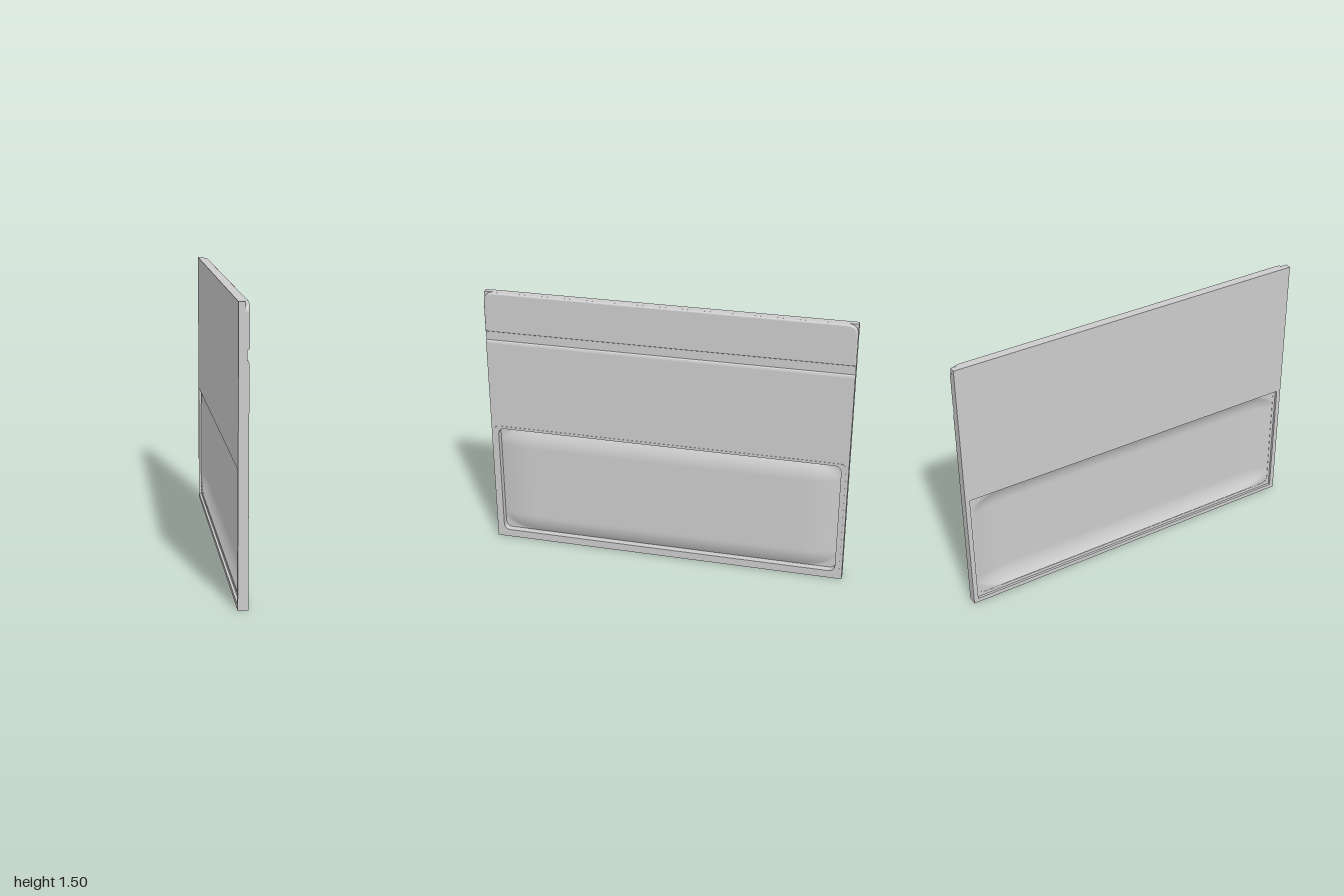
import * as THREE from 'three';

const grey = new THREE.MeshStandardMaterial({ color: 0xcccccc, side: THREE.DoubleSide });

// Rectangle in (z, y) with separate lower and upper corner radii.
function roundedRect(Path, halfW, y0, y1, rLow = 0, rTop = rLow) {
  const p = new Path();
  p.moveTo(-halfW + rLow, y0);
  p.lineTo(halfW - rLow, y0);
  if (rLow) p.quadraticCurveTo(halfW, y0, halfW, y0 + rLow);
  p.lineTo(halfW, y1 - rTop);
  if (rTop) p.quadraticCurveTo(halfW, y1, halfW - rTop, y1);
  p.lineTo(-halfW + rTop, y1);
  if (rTop) p.quadraticCurveTo(-halfW, y1, -halfW, y1 - rTop);
  p.lineTo(-halfW, y0 + rLow);
  if (rLow) p.quadraticCurveTo(-halfW, y0, -halfW + rLow, y0);
  return p;
}

// Layer of the panel, extruded along x from x0 to x1.
function layer(name, outline, hole, x0, x1, bevel = 0) {
  if (hole) outline.holes.push(hole);
  const geo = new THREE.ExtrudeGeometry(outline, {
    depth: x1 - x0 - 2 * bevel, curveSegments: 10, bevelEnabled: bevel > 0,
    bevelSize: bevel, bevelThickness: bevel, bevelOffset: -bevel, bevelSegments: 4,
  });
  geo.translate(0, 0, x0 + bevel).rotateY(Math.PI / 2);
  const mesh = new THREE.Mesh(geo, grey);
  mesh.name = name;
  return mesh;
}

// Thin pillow surface: flat in the middle, falling away near all four edges.
function pillow(name, halfW, y0, y1, peak, drop, fadeZ, fadeY) {
  const geo = new THREE.PlaneGeometry(2 * halfW, y1 - y0, 120, 60);
  geo.rotateY(Math.PI / 2).translate(0, (y0 + y1) / 2, 0);
  const p = geo.attributes.position;
  for (let i = 0; i < p.count; i++) {
    const y = p.getY(i);
    const a = Math.max(0, 1 - (halfW - Math.abs(p.getZ(i))) / fadeZ);
    const b = Math.max(0, 1 - Math.min(y - y0, y1 - y) / fadeY);
    p.setX(i, peak - drop * Math.min(1, a * a + b * b));
  }
  geo.computeVertexNormals();
  const mesh = new THREE.Mesh(geo, grey);
  mesh.name = name;
  return mesh;
}

export function createModel() {
  const group = new THREE.Group();
  group.name = 'panel';
  const { Shape, Path } = THREE;

  // Back board with an open window behind the lower pan
  group.add(layer('backBoard', roundedRect(Shape, 1, 0, 1.5),
    roundedRect(Path, 0.975, 0.025, 0.7), -0.027, 0.006));

  // Lower front skin around the pan
  group.add(layer('lowerSkin', roundedRect(Shape, 1, 0, 0.72),
    roundedRect(Path, 0.97, 0.035, 0.703, 0.04), 0.006, 0.0245));

  // Deep rim that frames the pan
  group.add(layer('panRim', roundedRect(Shape, 0.985, 0.02, 0.712, 0.035),
    roundedRect(Path, 0.96, 0.045, 0.697, 0.04), -0.014, 0.0265));

  // Pressed pan bulging forward inside the rim
  group.add(pillow('pan', 0.962, 0.043, 0.699, 0.022, 0.035, 0.2, 0.11));

  // Middle skin, stepping back into the horizontal groove
  const profile = new Shape([
    [0.006, 0.72], [0.0245, 0.72], [0.0245, 1.21], [0.022, 1.22],
    [0.016, 1.226], [0.016, 1.29], [0.006, 1.29],
  ].map(([x, y]) => new THREE.Vector2(x, y)));
  const middle = new THREE.Mesh(
    new THREE.ExtrudeGeometry(profile, { depth: 2, bevelEnabled: false }).translate(0, 0, -1), grey);
  middle.name = 'middleSkin';
  group.add(middle);

  // Top band with rounded upper corners and softened edges
  group.add(layer('topBandBase', roundedRect(Shape, 1, 1.275, 1.5, 0, 0.06), null, 0.006, 0.015));
  group.add(layer('topBand', roundedRect(Shape, 1, 1.275, 1.5, 0, 0.06), null, 0.006, 0.027, 0.0095));

  return group;
}
